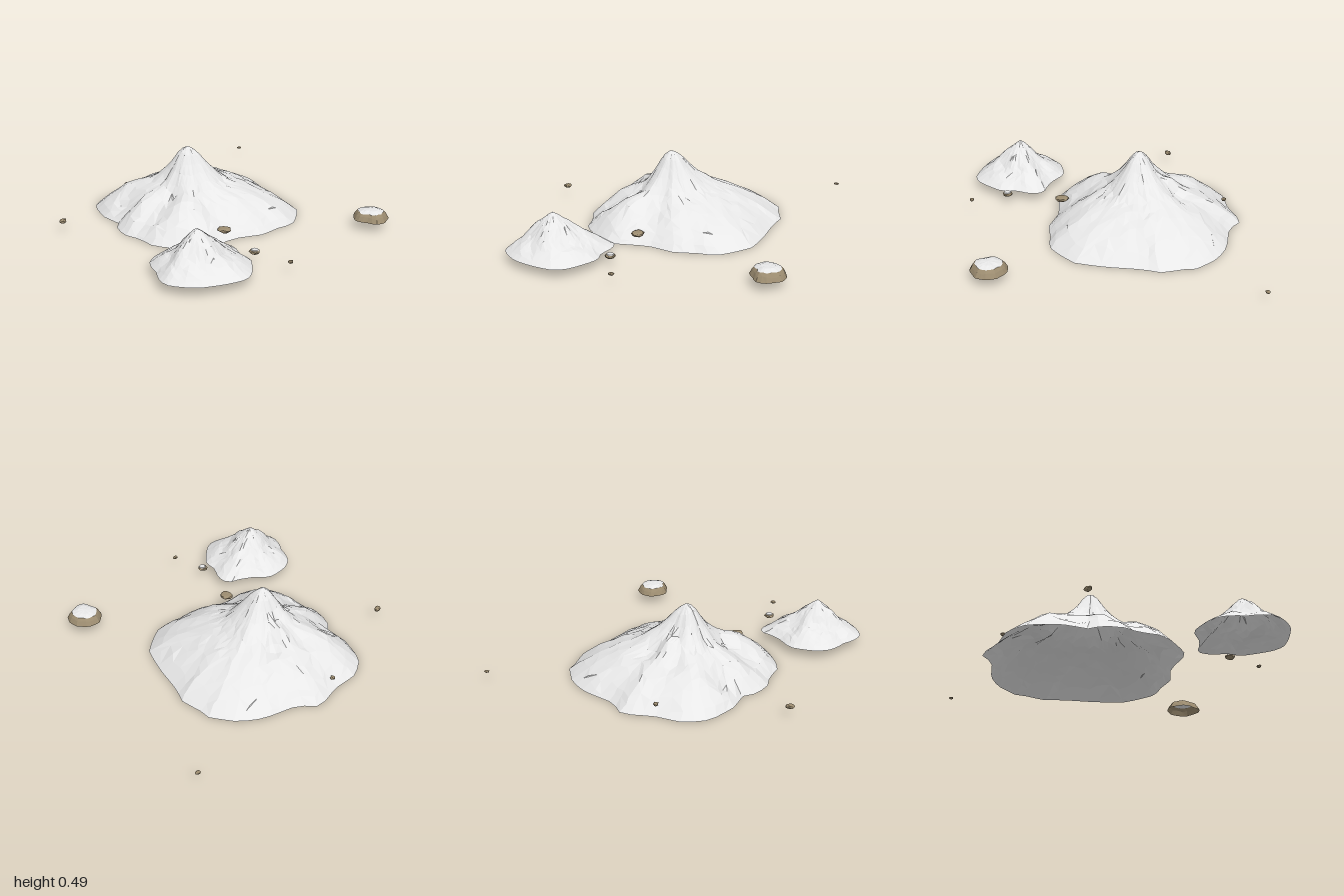
import * as THREE from 'three';

const snow = new THREE.MeshStandardMaterial({ color: 0xe9e9e9, flatShading: true, side: THREE.DoubleSide });
snow.name = 'snow';
const stone = new THREE.MeshStandardMaterial({ color: 0x9c8c70, flatShading: true, side: THREE.DoubleSide });
stone.name = 'stone';

// Repeatable noise in -1..1
const noise = (a, b) => {
  const s = Math.sin(a * 127.1 + b * 311.7) * 43758.5453;
  return (s - Math.floor(s)) * 2 - 1;
};

// Height at t from a list of [t, height] pairs
function sample(profile, t) {
  for (let i = 1; i < profile.length; i++) {
    const [t0, h0] = profile[i - 1], [t1, h1] = profile[i];
    if (t <= t1) return h0 + (h1 - h0) * (t - t0) / (t1 - t0);
  }
  return 0;
}

// Open faceted mound: rings shrink from an outline (clockwise from above) to the peak.
// bumps: [x, z, radius, height]; relief is the height of the rolling surface;
// rings inside capT take the snow material.
function mound({ name, outline, peak, base, profile, bumps = [], rings, segs, jitter, relief, capT = 1 }) {
  const curve = new THREE.CatmullRomCurve3(
    outline.map(([x, z]) => new THREE.Vector3(x, 0, z)), true, 'catmullrom', 0.15);
  const rim = curve.getSpacedPoints(segs).slice(0, segs);
  const pos = [peak[0], base + profile[0][1], peak[1]];
  rings.forEach((t, i) => rim.forEach((p, j) => {
    const free = t < 1 ? 1 : 0;
    const k = t + free * Math.min(t, 0.5) * jitter * noise(i + 1, j);
    const side = free * t * jitter * 0.4 * noise(j, i + 41);
    const dx = p.x - peak[0], dz = p.z - peak[1];
    const x = peak[0] + dx * k - dz * side, z = peak[1] + dz * k + dx * side;
    let y = sample(profile, k);
    for (const [bx, bz, r, h] of bumps) {
      y += h * Math.exp(-((x - bx) ** 2 + (z - bz) ** 2) / (r * r)) * (1 - t ** 5);
    }
    const roll = Math.sin(x * 27 + z * 11 + 1) * Math.sin(z * 31 - x * 9) + 0.5 * noise(i + 10, j + 5);
    y += relief * roll * Math.min(1, t * 3) * (1 - t ** 4);
    pos.push(x, base + free * Math.max(0, y), z);
  }));
  const index = [], at = (i, j) => 1 + i * segs + (j % segs);
  let capCount = 0;
  for (let i = 0; i < rings.length; i++) {
    for (let j = 0; j < segs; j++) {
      if (i === 0) { index.push(0, at(0, j + 1), at(0, j)); continue; }
      const a = at(i - 1, j), b = at(i - 1, j + 1), c = at(i, j), d = at(i, j + 1);
      if (noise(i, j + 77) > 0) index.push(a, b, c, b, d, c);
      else index.push(a, b, d, a, d, c);
    }
    if (rings[i] <= capT) capCount = index.length;
  }
  const geo = new THREE.BufferGeometry();
  geo.setAttribute('position', new THREE.Float32BufferAttribute(pos, 3));
  geo.setIndex(index);
  geo.addGroup(0, capCount, 0);
  geo.addGroup(capCount, index.length - capCount, 1);
  geo.computeVertexNormals();
  const mesh = new THREE.Mesh(geo, [snow, stone]);
  mesh.name = name;
  return mesh;
}

// Small squashed stone, with flattened top and bottom
function pebble(name, x, y, z, w, h, d, turn) {
  const geo = new THREE.IcosahedronGeometry(1, 1);
  const p = geo.attributes.position;
  for (let i = 0; i < p.count; i++) {
    const v = new THREE.Vector3().fromBufferAttribute(p, i);
    const key = Math.round(v.x * 50) + Math.round(v.y * 50) * 3.1;
    v.multiplyScalar(1 + 0.12 * noise(key, Math.round(v.z * 50)));
    p.setXYZ(i, v.x * w / 2, THREE.MathUtils.clamp(v.y * 1.25, -1, 1) * h / 2, v.z * d / 2);
  }
  geo.computeVertexNormals();
  const mesh = new THREE.Mesh(geo, stone);
  mesh.name = name;
  mesh.position.set(x, y, z);
  mesh.rotation.y = turn;
  return mesh;
}

export function createModel() {
  const model = new THREE.Group();
  model.name = 'snowyMountains';

  // Large mountain: steep summit on broad shoulders, with spurs and gullies
  model.add(mound({
    name: 'largeMountain', peak: [-0.09, -0.19], base: 0,
    outline: [
      [-0.02, -0.885], [0.08, -0.81], [0.32, -0.78], [0.47, -0.71], [0.6, -0.57], [0.61, -0.46],
      [0.655, -0.37], [0.62, -0.23], [0.6, 0], [0.56, 0.2], [0.47, 0.3], [0.36, 0.388], [0.22, 0.388],
      [0.09, 0.415], [-0.1, 0.36], [-0.36, 0.38], [-0.5, 0.27], [-0.6, 0.15], [-0.61, 0],
      [-0.65, -0.1], [-0.64, -0.24], [-0.58, -0.3], [-0.6, -0.47], [-0.55, -0.68],
      [-0.42, -0.79], [-0.22, -0.82], [-0.12, -0.87]],
    profile: [[0, 0.49], [0.05, 0.468], [0.1, 0.435], [0.19, 0.355], [0.3, 0.285], [0.39, 0.24],
      [0.53, 0.205], [0.68, 0.155], [0.86, 0.08], [1, 0]],
    bumps: [
      // summit shoulder
      [-0.17, -0.2, 0.06, 0.025],
      // back spur with a notch before it and gullies beside it
      [-0.08, -0.42, 0.06, 0.03], [-0.09, -0.33, 0.045, -0.03],
      [0.03, -0.46, 0.07, -0.03], [-0.18, -0.5, 0.06, -0.02],
      // front left spur
      [-0.3, 0.1, 0.09, 0.025], [-0.42, 0.2, 0.1, 0.035], [-0.14, 0.18, 0.1, -0.03],
      // left side gully between two spurs
      [-0.46, -0.04, 0.1, -0.055], [-0.3, -0.08, 0.07, -0.04], [-0.46, -0.22, 0.08, 0.02],
      // back left hollow and spur
      [-0.48, -0.4, 0.09, -0.05], [-0.38, -0.53, 0.1, 0.02],
      // right shoulder and the lower front right slope
      [0.12, -0.36, 0.09, 0.015], [0.08, -0.02, 0.08, -0.025], [0.3, 0.06, 0.15, -0.015]],
    rings: [0.05, 0.1, 0.16, 0.23, 0.31, 0.39, 0.48, 0.57, 0.67, 0.77, 0.86, 0.94, 1],
    segs: 54, jitter: 0.07, relief: 0.005,
  }));

  // Small mountain
  model.add(mound({
    name: 'smallMountain', peak: [-0.63, 0.68], base: 0.06,
    outline: [
      [-0.6, 0.365], [-0.55, 0.38], [-0.46, 0.44], [-0.37, 0.47], [-0.3, 0.48], [-0.27, 0.53],
      [-0.28, 0.62], [-0.31, 0.68], [-0.3, 0.78], [-0.35, 0.86], [-0.42, 0.95], [-0.5, 1],
      [-0.6, 0.99], [-0.68, 0.97], [-0.79, 0.93], [-0.87, 0.86], [-0.925, 0.78], [-0.91, 0.68],
      [-0.87, 0.6], [-0.86, 0.53], [-0.82, 0.45], [-0.75, 0.4], [-0.67, 0.375]],
    profile: [[0, 0.25], [0.1, 0.23], [0.32, 0.163], [0.5, 0.106], [0.65, 0.072], [0.82, 0.042], [1, 0]],
    bumps: [[-0.76, 0.7, 0.05, 0.035], [-0.45, 0.62, 0.06, 0.02], [-0.63, 0.83, 0.05, 0.025],
      [-0.5, 0.78, 0.06, -0.012], [-0.72, 0.56, 0.06, -0.012]],
    rings: [0.1, 0.2, 0.3, 0.4, 0.5, 0.6, 0.7, 0.8, 0.9, 1], segs: 40, jitter: 0.07, relief: 0.009,
  }));

  // Snow-capped boulder
  model.add(mound({
    name: 'boulder', peak: [0.76, 0.72], base: 0.06,
    outline: [[0.71, 0.607], [0.79, 0.605], [0.86, 0.66], [0.877, 0.725], [0.86, 0.79],
      [0.765, 0.845], [0.7, 0.83], [0.68, 0.78], [0.645, 0.73], [0.65, 0.68]],
    profile: [[0, 0.066], [0.45, 0.063], [0.72, 0.052], [0.86, 0.032], [1, 0]],
    rings: [0.4, 0.72, 0.86, 1], segs: 22, jitter: 0.06, relief: 0.003, capT: 0.72,
  }));

  // Scattered stones: x, y, z, width, height, depth, turn
  [
    [-0.95, 0.077, -0.4, 0.058, 0.026, 0.04, 0.5],
    [-0.225, 0.07, -0.785, 0.032, 0.02, 0.034, 0],
    [0.953, 0.07, -0.985, 0.037, 0.012, 0.03, 0],
    [-0.175, 0.076, 0.345, 0.084, 0.03, 0.094, 0.2],
    [-0.233, 0.075, 0.733, 0.068, 0.026, 0.068, 0],
    [-0.145, 0.07, 0.972, 0.038, 0.018, 0.028, 0.1],
  ].forEach((s, i) => model.add(pebble('stone' + (i + 1), ...s)));

  // Snow patch on one stone
  const patch = new THREE.Mesh(new THREE.CylinderGeometry(0.023, 0.026, 0.006, 7), snow);
  patch.name = 'stoneSnowCap';
  patch.position.set(-0.233, 0.088, 0.733);
  model.add(patch);

  return model;
}
